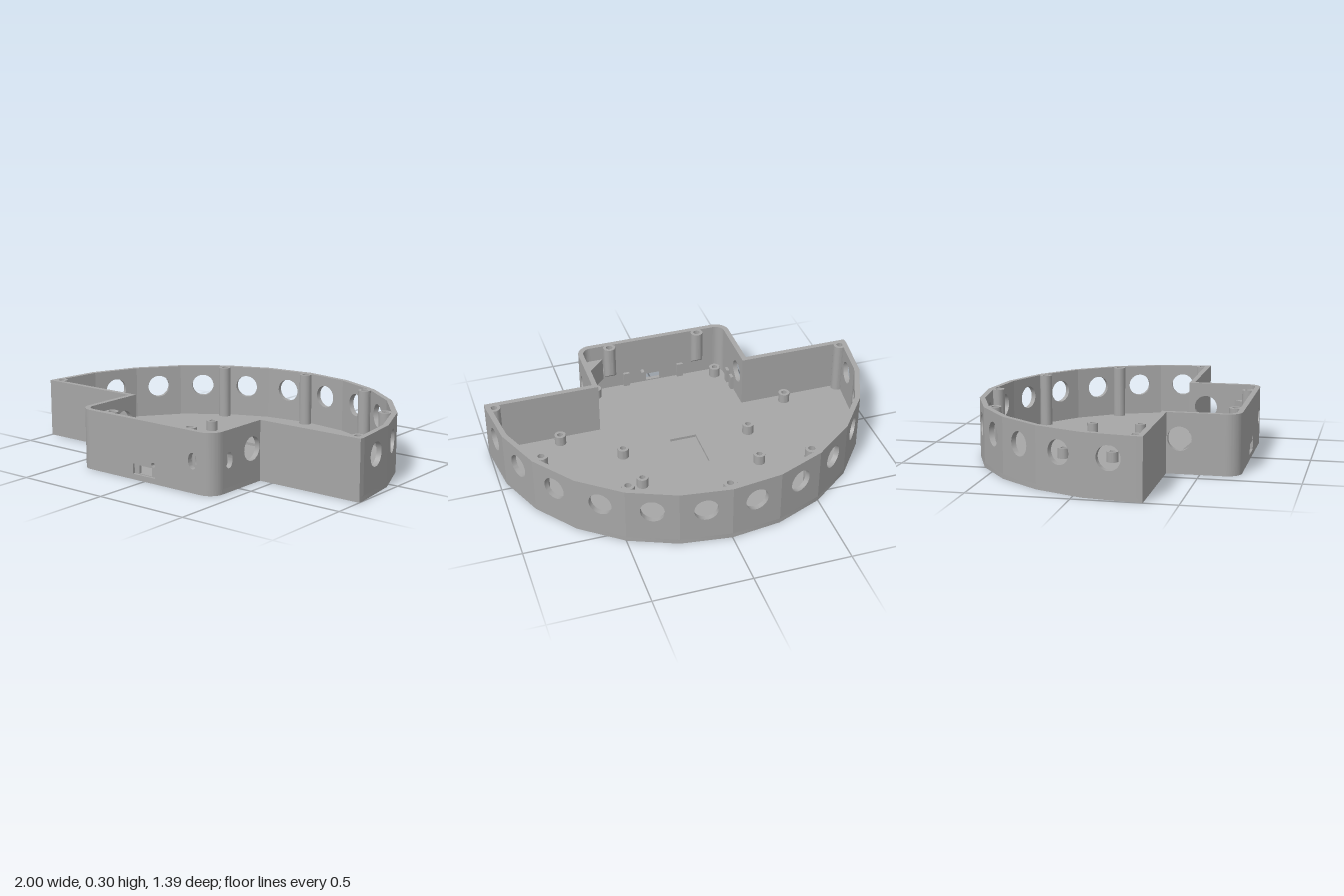
import * as THREE from 'three';
import { toCreasedNormals } from 'three/addons/utils/BufferGeometryUtils.js';

const H = 0.304;        // overall height
const FLOOR = 0.025;    // floor thickness
const T = 0.027;        // wall thickness
const W = 0.428;        // half width of the front bay
const FRONT = 0.697;    // front face z
const SHOULDER = 0.335; // z where the bay meets the half round
const ARC_Z = 0.303;    // centre of the half round, radius 1
const R = 0.075;        // bay corner radius

export function createModel() {
  const group = new THREE.Group();
  const grey = new THREE.MeshStandardMaterial({ color: 0xa6a6a6 });
  grey.name = 'grey plastic';

  function add(name, geometry, x = 0, y = 0, z = 0, rotY = 0) {
    const mesh = new THREE.Mesh(toCreasedNormals(geometry, 0.5), grey);
    mesh.name = name;
    mesh.position.set(x, y, z);
    mesh.rotation.y = rotY;
    group.add(mesh);
    return mesh;
  }
  const extrude = (shape, depth) =>
    new THREE.ExtrudeGeometry(shape, { depth, bevelEnabled: false, curveSegments: 20 });

  function rect(x0, y0, x1, y1) {
    return new THREE.Shape([[x0, y0], [x1, y0], [x1, y1], [x0, y1]].map(p => new THREE.Vector2(...p)));
  }
  function oval(x, y, rx, ry = rx) {
    return new THREE.Path().absellipse(x, y, rx, ry, 0, Math.PI * 2, true);
  }

  // Outline, counter-clockwise from above, as [x, z]
  const pts = [[R - W, FRONT], [W - R, FRONT], [W, FRONT - R], [W, SHOULDER], [1, SHOULDER]];
  for (let i = 6; i >= -6; i--) {
    const a = i * Math.PI / 12;
    pts.push([Math.sin(a), ARC_Z - Math.cos(a)]);
  }
  pts.push([-1, SHOULDER], [-W, SHOULDER], [-W, FRONT - R]);
  const n = pts.length;
  const rounded = i => i === 1 || i === n - 1;
  const heading = i => {
    const a = pts[i], b = pts[(i + 1) % n];
    return Math.atan2(a[1] - b[1], b[0] - a[0]);
  };
  // Inset of the inner face at corner i, so neighbouring walls meet in a mitre
  function mitre(i) {
    const prev = (i + n - 1) % n;
    if (rounded(i) || rounded(prev)) return 0;
    const turn = heading(i) - heading(prev);
    return T * Math.tan(Math.atan2(Math.sin(turn), Math.cos(turn)) / 2);
  }

  // Openings of each wall, measured along the wall from its start
  function openings(i, len) {
    if (i === 0) {
      const c = W - R;
      return [rect(c - 0.072, 0.028, c + 0.07, 0.08), oval(c + 0.06, 0.094, 0.012), oval(c + 0.305, 0.157, 0.026, 0.04)];
    }
    if (i === 2) return [oval(FRONT - R - 0.4, 0.175, 0.06), oval(FRONT - R - 0.575, 0.157, 0.026, 0.04)];
    if (i === n - 2) return [oval(0.4 - SHOULDER, 0.175, 0.06)];
    if (i >= 5 && i < 17) return [oval(len / 2, 0.194, 0.06)];
    return [];
  }

  // Walls
  for (let i = 0; i < n; i++) {
    if (rounded(i)) continue;
    const a = pts[i], b = pts[(i + 1) % n];
    const len = Math.hypot(b[0] - a[0], b[1] - a[1]);
    const shape = rect(0, FLOOR, len, H);
    shape.holes = openings(i, len);
    const geo = extrude(shape, T).translate(0, 0, -T);
    const p = geo.attributes.position;
    for (let k = 0; k < p.count; k++) {
      if (p.getZ(k) > -T / 2) continue;
      if (p.getX(k) < 1e-5) p.setX(k, mitre(i));
      else if (p.getX(k) > len - 1e-5) p.setX(k, len - mitre((i + 1) % n));
    }
    add(i >= 5 && i < 17 ? 'backWall' : 'wall', geo, a[0], 0, a[1], heading(i));
  }

  // Rounded bay corners
  for (const s of [-1, 1]) {
    const q = new THREE.Shape();
    const from = s > 0 ? 0 : Math.PI / 2;
    q.absarc(0, 0, R, from, from + Math.PI / 2, false);
    q.absarc(0, 0, R - T, from + Math.PI / 2, from, true);
    add('roundedCorner', extrude(q, H - FLOOR).rotateX(Math.PI / 2), s * (W - R), H, FRONT - R);
  }

  // Floor in two layers, the upper one with a shallow pocket
  function floorShape() {
    const s = new THREE.Shape();
    s.moveTo(...pts[0]);
    for (let i = 1; i < n; i++) {
      s.lineTo(...pts[i]);
      if (i === 1) s.absarc(W - R, FRONT - R, R, Math.PI / 2, 0, true);
    }
    s.absarc(R - W, FRONT - R, R, Math.PI, Math.PI / 2, true);
    return s;
  }
  add('floorBase', extrude(floorShape(), 0.011).rotateX(Math.PI / 2), 0, 0.011, 0);
  const top = floorShape();
  top.holes = [rect(-0.072, -0.123, 0.072, 0.11)];
  add('floorTop', extrude(top, FLOOR - 0.011).rotateX(Math.PI / 2), 0, FLOOR, 0);

  // Inner frame of the front port, making its outer half a recess
  const port = rect(-0.072, 0.026, 0.07, 0.082);
  port.holes = [rect(-0.04, 0.031, 0.04, 0.072)];
  add('portFrame', extrude(port, T / 2), 0, 0, FRONT - T);

  // Screw posts and standoffs: round, with a blind hole in the top
  function post(name, x, z, y0, y1, ro, ri, hole, slope = 0) {
    const h = y1 - y0;
    const profile = [[0, 0], [ro, 0], [ro, h], [ri, h], [ri, h - hole], [0, h - hole]];
    const geo = new THREE.LatheGeometry(profile.map(p => new THREE.Vector2(...p)), 24);
    const p = geo.attributes.position;
    for (let k = 0; k < p.count; k++) {
      if (p.getY(k) < 1e-5) p.setY(k, slope * (ro - p.getZ(k)));
    }
    add(name, geo, x, y0, z);
  }
  for (const [x, z] of [[0, -0.645], [0.47, -0.515], [-0.47, -0.515], [0.815, -0.17], [0.957, 0.292], [-0.957, 0.292]]) {
    post('screwPost', x, z, FLOOR, H, 0.033, 0.017, 0.1);
  }
  for (const s of [-1, 1]) {
    // Front posts hang on the wall and end in a slope
    post('frontScrewPost', s * 0.25, 0.648, 0.09, H, 0.033, 0.017, 0.1, 0.8);
    for (const [x, z] of [[0.315, -0.21], [0.345, 0.05], [0.63, 0.26], [0.345, 0.61]]) {
      post('standoff', s * x, z, FLOOR, 0.078, 0.03, 0.015, 0.045);
    }
    // Small ribs that hold the board
    for (const z of [0.463, 0.532]) {
      add('sideRib', new THREE.BoxGeometry(0.02, 0.08, 0.034), s * 0.395, FLOOR + 0.04, z);
    }
    add('frontRib', new THREE.BoxGeometry(0.034, 0.08, 0.02), s * 0.155, FLOOR + 0.04, 0.664);
  }

  // Cable anchor: a diagonal block across the corner with a tunnel along it
  const section = rect(0, 0.09, 0.09, 0.22);
  section.holes = [oval(0.038, 0.157, 0.025, 0.04)];
  const anchor = extrude(section, 1);
  const p = anchor.attributes.position;
  for (let k = 0; k < p.count; k++) {
    const s = p.getX(k), t = p.getZ(k);
    p.setX(k, THREE.MathUtils.lerp(0.401, 0.285 + s, t));
    p.setZ(k, THREE.MathUtils.lerp(0.554 + s, 0.67, t));
  }
  add('cableAnchor', anchor);

  return group;
}
